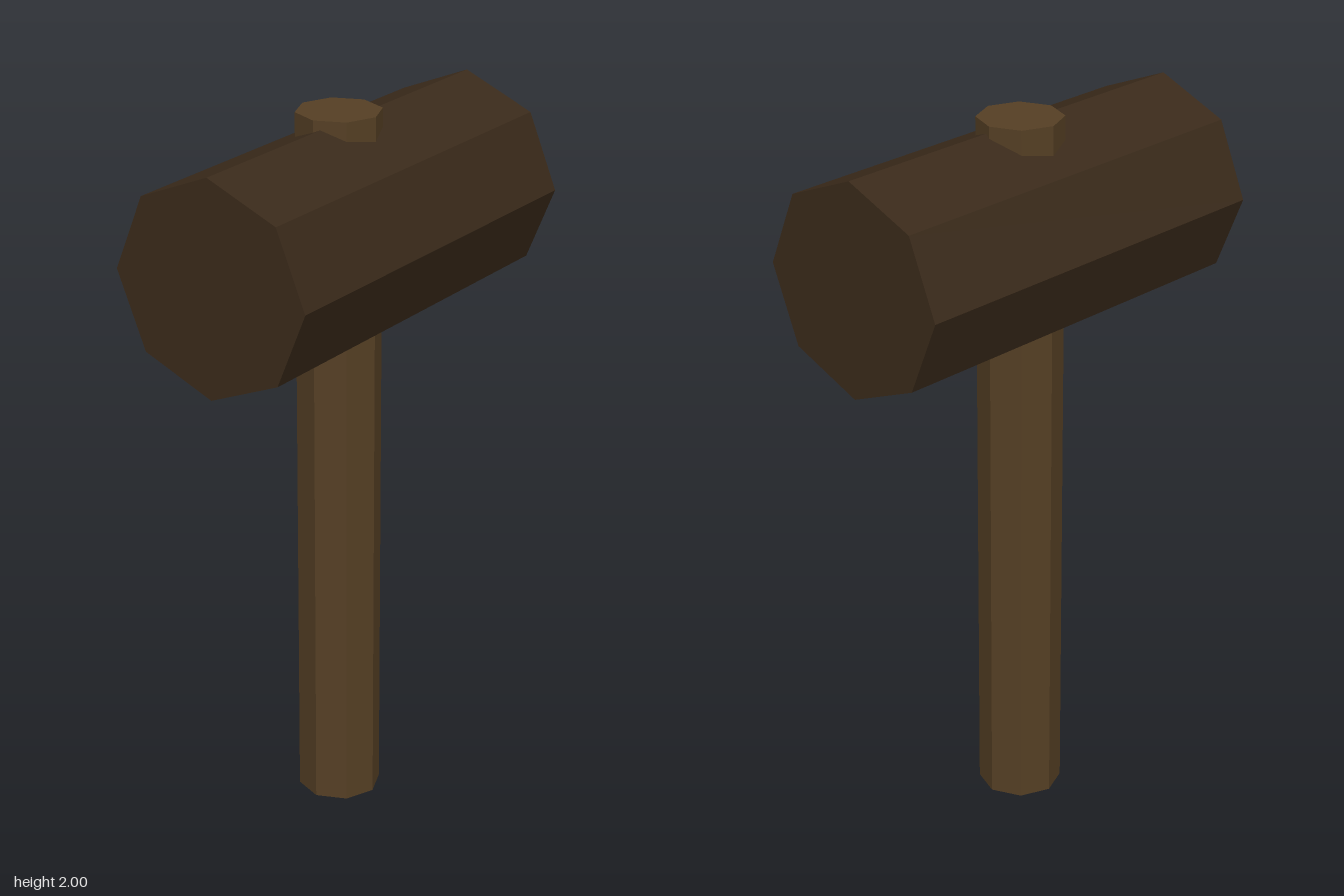
import * as THREE from 'three';

// Eight-sided wooden bar with flat facets
function octagonBar(name, radius, length, color) {
  const material = new THREE.MeshStandardMaterial({ color, flatShading: true });
  const mesh = new THREE.Mesh(new THREE.CylinderGeometry(radius, radius, length, 8), material);
  mesh.name = name;
  return mesh;
}

export function createModel() {
  const model = new THREE.Group();
  model.name = 'mallet';

  // Handle runs from the ground through the head, slightly off centre
  const handle = octagonBar('handle', 0.116, 2, 0x553f24);
  handle.position.set(-0.018, 1, 0.002);

  // Head lies front to back
  const head = octagonBar('head', 0.293, 1.174, 0x3a2a1a);
  head.rotation.x = Math.PI / 2;
  head.position.y = 1.682;

  model.add(handle, head);
  return model;
}
